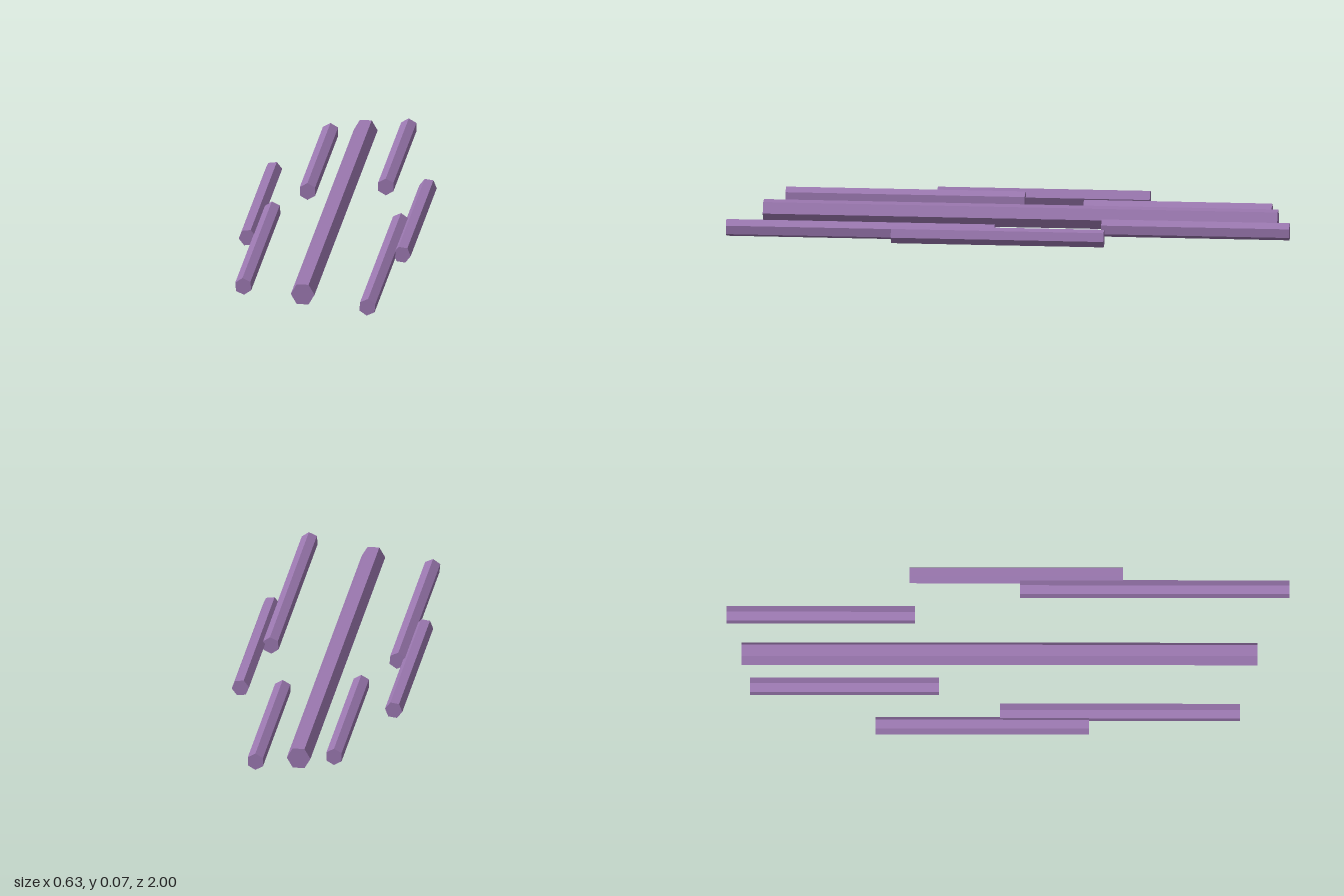
import * as THREE from 'three';

const purple = new THREE.MeshStandardMaterial({ color: 0x9b78b0 });
purple.name = 'purple';

// Height of every rod's axis
const AXIS_Y = 0.037;

// Hexagonal rod along z; roll in degrees, 0 = corner pointing up
function rod(name, x, zBack, zFront, radius, roll) {
  const geometry = new THREE.CylinderGeometry(radius, radius, zFront - zBack, 6)
    .toNonIndexed();
  geometry.rotateX(Math.PI / 2);
  geometry.rotateZ(THREE.MathUtils.degToRad(roll));
  geometry.computeVertexNormals(); // flat facets
  const mesh = new THREE.Mesh(geometry, purple);
  mesh.name = name;
  mesh.position.set(x, AXIS_Y, (zBack + zFront) / 2);
  return mesh;
}

export function createModel() {
  const group = new THREE.Group();
  group.name = 'hexagonalRods';

  // Thick central rod, lying on a flat side
  group.add(rod('centralRod', -0.0125, -0.947, 0.887, 0.0425, 30));

  // Thin side rods: mirrored in x, each side with its own z span
  const pairs = [
    { name: 'RearRod', x: 0.135, roll: 0, left: [-1, -0.33], right: [-0.916, -0.245] },
    { name: 'MiddleRod', x: 0.284, roll: 22, left: [-0.35, 0.408], right: [-0.47, 0.288] },
    { name: 'FrontRod', x: 0.233, roll: -5, left: [0.043, 1], right: [-0.028, 0.825] },
  ];
  for (const { name, x, roll, left, right } of pairs) {
    group.add(rod('left' + name, x, ...left, 0.0315, roll));
    group.add(rod('right' + name, -x, ...right, 0.0315, -roll));
  }
  return group;
}
